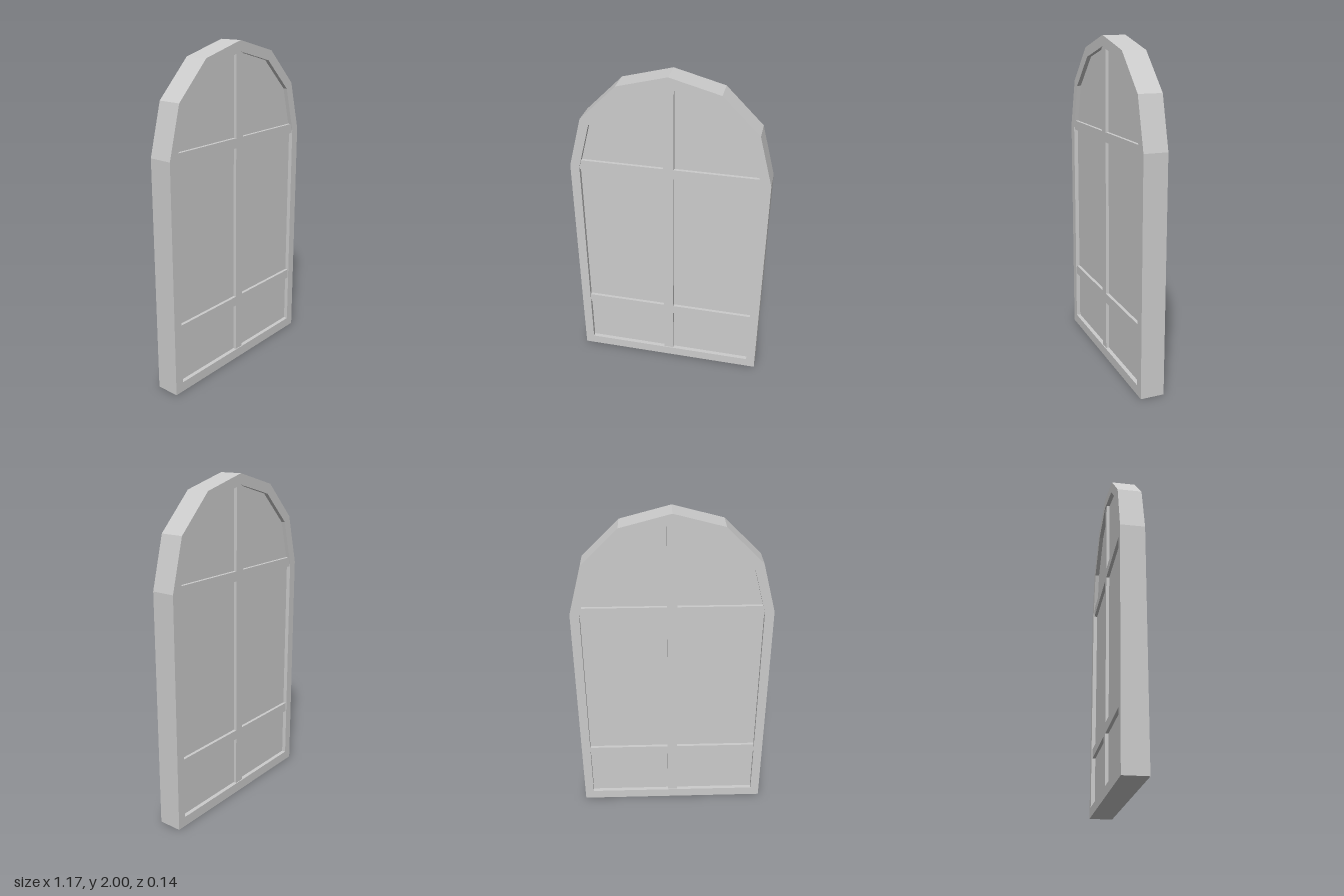
import * as THREE from 'three';

const DEPTH = 0.143;       // frame thickness
const BAR_DEPTH = 0.131;   // bars sit just inside the frame faces
const PANE_DEPTH = 0.093;

// Right half of each outline, from the sill up to the peak
const OUTER = [[0.585, 0], [0.585, 1.41], [0.505, 1.71], [0.29, 1.923], [0, 2]];
const INNER = [[0.53, 0.06], [0.53, 1.402], [0.457, 1.677], [0.262, 1.867], [0, 1.937]];

// Mirror a half outline into a closed list of points
function mirrored(half) {
  const left = half.slice(0, -1).reverse().map(([x, y]) => [-x, y]);
  return [...half, ...left].map(([x, y]) => new THREE.Vector2(x, y));
}

function extrude(shape, depth) {
  const geometry = new THREE.ExtrudeGeometry(shape, { depth, bevelEnabled: false });
  return geometry.translate(0, 0, -depth / 2);
}

export function createModel() {
  const model = new THREE.Group();
  model.name = 'archedWindow';
  const material = new THREE.MeshStandardMaterial({ color: 0xcccccc, flatShading: true });

  const add = (name, geometry, x = 0, y = 0) => {
    const mesh = new THREE.Mesh(geometry, material);
    mesh.name = name;
    mesh.position.set(x, y, 0);
    model.add(mesh);
  };

  // Faceted arched frame with an open middle
  const frame = new THREE.Shape(mirrored(OUTER));
  frame.holes.push(new THREE.Path(mirrored(INNER)));
  add('frame', extrude(frame, DEPTH));

  // Pane, slightly larger than the opening so its rim is held in the frame
  const paneHalf = INNER.map(([x, y]) => [x * 1.02, 1 + (y - 1) * 1.01]);
  add('pane', extrude(new THREE.Shape(mirrored(paneHalf)), PANE_DEPTH));

  // Vertical bar from the sill to the peak
  add('verticalBar', new THREE.BoxGeometry(0.06, 1.9, BAR_DEPTH), 0, 1.0);

  // Two cross bars, each in a left and a right half
  for (const [level, y] of [['lower', 0.4], ['upper', 1.415]]) {
    for (const [side, s] of [['Left', 1], ['Right', -1]]) {
      add(`${level}CrossBar${side}`, new THREE.BoxGeometry(0.51, 0.06, BAR_DEPTH), s * 0.285, y);
    }
  }

  return model;
}
